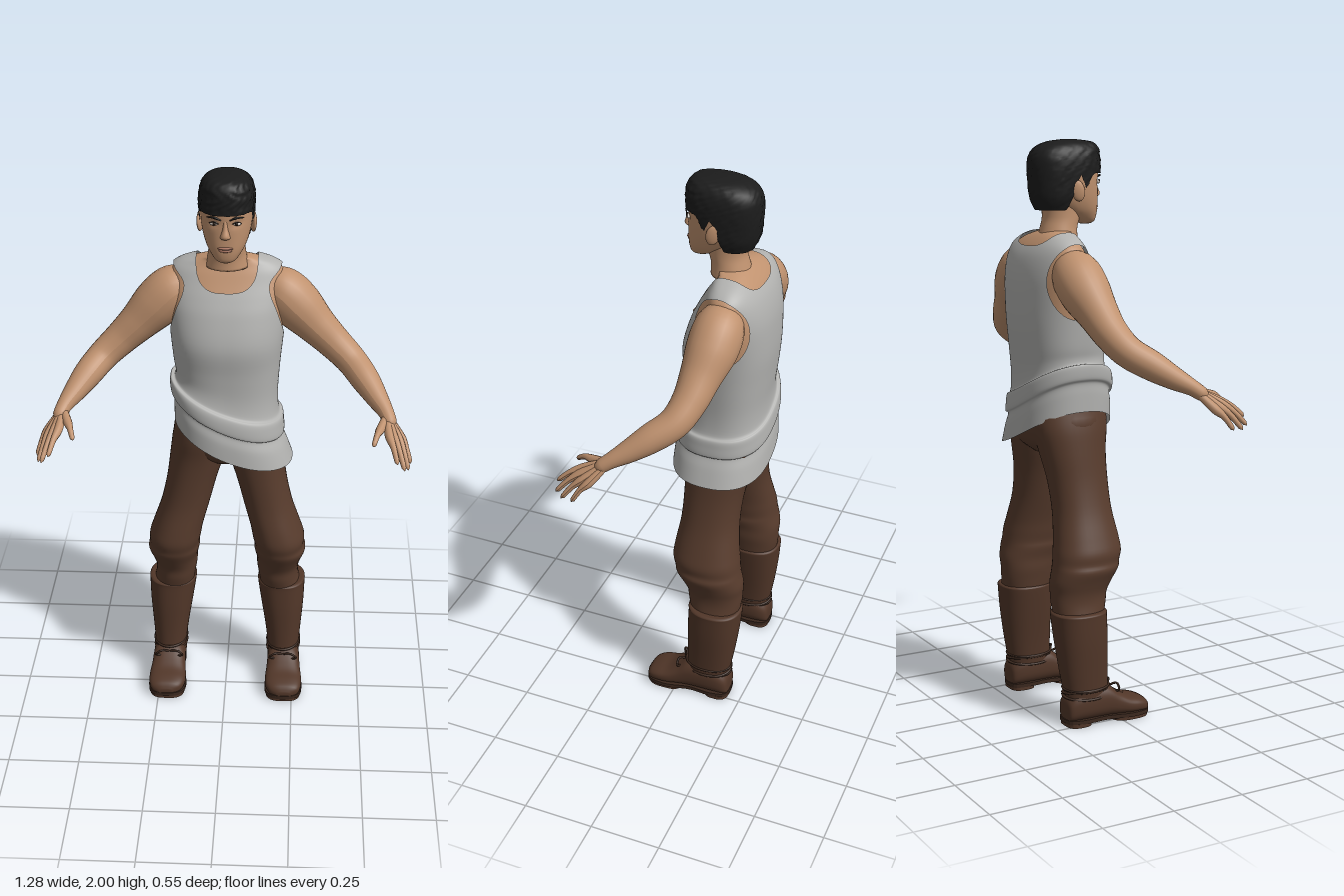
import * as THREE from 'three';
import { toCreasedNormals } from 'three/addons/utils/BufferGeometryUtils.js';

const mat = (name, color, side = THREE.FrontSide) => {
  const m = new THREE.MeshStandardMaterial({ color, side });
  m.name = name;
  return m;
};

// Loft through horizontal rings [y, x0, x1, zFront, zBack], listed bottom to top.
function loft(rings, { n = 40, e = 2.3, sub = 4, caps = true, mod } = {}) {
  const pos = [], idx = [], rows = (rings.length - 1) * sub;
  const cr = (a, b, c, d, t) => b + 0.5 * t * (c - a + t * (2 * a - 5 * b + 4 * c - d + t * (3 * (b - c) + d - a)));
  const p = new THREE.Vector3();
  const pw = (v) => Math.sign(v) * Math.abs(v) ** (2 / e);
  for (let i = 0; i <= rows; i++) {
    const k = Math.min(Math.floor(i / sub), rings.length - 2), t = i / sub - k;
    const R = (j) => rings[Math.max(0, Math.min(rings.length - 1, j))];
    const [y, x0, x1, zf, zb] = rings[0].map((_, c) => cr(R(k - 1)[c], R(k)[c], R(k + 1)[c], R(k + 2)[c], t));
    for (let j = 0; j < n; j++) {
      const a = (j / n) * Math.PI * 2;
      p.set((x0 + x1) / 2 + pw(Math.cos(a)) * (x1 - x0) / 2, y, (zf + zb) / 2 + pw(Math.sin(a)) * (zf - zb) / 2);
      if (mod) mod(p);
      pos.push(p.x, p.y, p.z);
      if (i < rows) {
        const q = i * n + j, r = i * n + (j + 1) % n;
        idx.push(q, q + n, r, r, q + n, r + n);
      }
    }
  }
  if (caps) [[0, rings[0]], [rows, rings[rings.length - 1]]].forEach(([row, r]) => {
    const c = pos.length / 3;
    pos.push((r[1] + r[2]) / 2, r[0], (r[3] + r[4]) / 2);
    for (let j = 0; j < n; j++) {
      const a = row * n + j, b = row * n + (j + 1) % n;
      row ? idx.push(c, b, a) : idx.push(c, a, b);
    }
  });
  const g = new THREE.BufferGeometry();
  g.setAttribute('position', new THREE.Float32BufferAttribute(pos, 3));
  g.setIndex(idx);
  g.computeVertexNormals();
  return g;
}

// Tapered tube through points [x, y, z, radius].
function limb(pts, seg = 24, sides = 16) {
  const curve = new THREE.CatmullRomCurve3(pts.map((p) => new THREE.Vector3(p[0], p[1], p[2])));
  const radii = new THREE.CatmullRomCurve3(pts.map((p, i) => new THREE.Vector3(p[3], i, 0)));
  const g = new THREE.TubeGeometry(curve, seg, 1, sides), P = g.attributes.position, v = new THREE.Vector3();
  for (let i = 0; i <= seg; i++) {
    const c = curve.getPointAt(i / seg), r = Math.max(0.0005, radii.getPoint(curve.getUtoTmapping(i / seg)).x);
    for (let j = 0; j <= sides; j++) {
      const k = i * (sides + 1) + j;
      v.fromBufferAttribute(P, k).sub(c).multiplyScalar(r).add(c);
      P.setXYZ(k, v.x, v.y, v.z);
    }
  }
  g.computeVertexNormals();
  return g;
}

// Keep the part of a surface where f > 0, with a clean edge.
function clip(geo, f) {
  const g = geo.toNonIndexed(), P = g.attributes.position, N = g.attributes.normal, pos = [], nor = [];
  for (let i = 0; i < P.count; i += 3) {
    const tri = [0, 1, 2].map((k) => {
      const p = new THREE.Vector3().fromBufferAttribute(P, i + k);
      return { p, n: new THREE.Vector3().fromBufferAttribute(N, i + k), d: f(p) };
    });
    const poly = [];
    tri.forEach((a, k) => {
      const b = tri[(k + 1) % 3];
      if (a.d > 0) poly.push(a);
      if (a.d > 0 !== b.d > 0) {
        const t = a.d / (a.d - b.d);
        poly.push({ p: a.p.clone().lerp(b.p, t), n: a.n.clone().lerp(b.n, t) });
      }
    });
    for (let k = 1; k + 1 < poly.length; k++) [poly[0], poly[k], poly[k + 1]].forEach((q) => { pos.push(...q.p.toArray()); nor.push(...q.n.toArray()); });
  }
  const out = new THREE.BufferGeometry();
  out.setAttribute('position', new THREE.Float32BufferAttribute(pos, 3));
  out.setAttribute('normal', new THREE.Float32BufferAttribute(nor, 3));
  return out;
}

export function createModel() {
  const root = new THREE.Group();
  const skin = mat('skin', 0xc0926f), shirt = mat('shirt grey', 0xb2b2b0, THREE.DoubleSide);
  const pants = mat('trouser brown', 0x583c2d), boot = mat('boot brown', 0x523729), sole = mat('sole brown', 0x3b281e);
  const hair = mat('hair black', 0x1c1c1c, THREE.DoubleSide), lip = mat('lip', 0xa87460);
  const white = mat('eye white', 0xd8d0c8), dark = mat('eye dark', 0x20160f);
  const add = (name, g, m) => {
    const o = new THREE.Mesh(g, m);
    o.name = name;
    root.add(o);
    return o;
  };
  const sym = (r) => r.map(([y, w, zf, zb]) => [y, -w, w, zf, zb]);
  const ss = THREE.MathUtils.smoothstep;

  // Torso and sleeveless shirt share the same upper sections
  const chest = [
    [1.30, 0.185, 0.035, -0.262], [1.40, 0.195, 0.04, -0.27], [1.50, 0.205, 0.012, -0.268], [1.56, 0.209, -0.015, -0.26],
    [1.61, 0.206, -0.042, -0.245], [1.645, 0.195, -0.06, -0.226], [1.67, 0.162, -0.073, -0.205],
    [1.688, 0.112, -0.075, -0.185], [1.70, 0.07, -0.06, -0.165]];
  add('upperBody', loft(sym(chest.map(([y, w, f, b]) => [y - 0.006, w - 0.008, f - 0.008, b + 0.008])), { n: 64, e: 2.4 }), skin);
  const tail = [
    [0.99, -0.185, 0.235, 0.066, -0.275], [1.05, -0.186, 0.212, 0.062, -0.27], [1.088, -0.186, 0.194, 0.054, -0.264],
    [1.097, -0.197, 0.204, 0.064, -0.273], [1.13, -0.2, 0.202, 0.063, -0.272], [1.155, -0.196, 0.198, 0.056, -0.268],
    [1.166, -0.182, 0.184, 0.043, -0.257], [1.22, -0.179, 0.179, 0.034, -0.255]];
  // The hem and its folds slant down to the model's left
  const slant = (p) => { p.y += (1 - ss(p.y, 1.12, 1.34)) * (-0.4 * p.x + 0.75 * p.x * p.x); };
  const shirtSurface = loft([...tail, ...sym(chest)], { n: 96, e: 2.4, sub: 5, caps: false, mod: slant });
  add('shirt', clip(shirtSurface, ({ x, y, z }) => {
    const ry = 0.055 + 0.06 * ss(z, -0.2, -0.06);
    const neck = (Math.abs(x) / 0.105) ** 3 + (Math.max(0, 1.7 - y) / ry) ** 3 - 1;
    const arm = Math.max(((z + 0.137) / 0.095) ** 2 + ((y - 1.53) / 0.125) ** 2 - 1, (0.13 - Math.abs(x)) * 10);
    return Math.min(neck, arm);
  }), shirt);

  // Neck and head
  add('neck', loft(sym([[1.66, 0.075, -0.04, -0.18], [1.70, 0.066, -0.04, -0.168], [1.74, 0.062, -0.03, -0.16], [1.80, 0.064, -0.03, -0.165]]), { e: 2 }), skin);
  add('head', loft(sym([
    [1.713, 0.018, 0.018, -0.02], [1.722, 0.034, 0.03, -0.04], [1.74, 0.05, 0.035, -0.08], [1.765, 0.066, 0.037, -0.125],
    [1.80, 0.079, 0.037, -0.165], [1.84, 0.086, 0.037, -0.185], [1.88, 0.088, 0.037, -0.19], [1.92, 0.086, 0.034, -0.19],
    [1.96, 0.07, 0.012, -0.17], [1.985, 0.03, -0.03, -0.12]]), {
    mod: (p) => { // eye sockets
      if (p.z > -0.02) p.z -= 0.007 * Math.exp(-(((Math.abs(p.x) - 0.038) / 0.018) ** 2) - ((p.y - 1.855) / 0.012) ** 2);
    }
  }), skin);
  add('nose', loft(sym([[1.803, 0.008, 0.044, 0.02], [1.808, 0.017, 0.053, 0.02], [1.818, 0.015, 0.056, 0.02], [1.84, 0.009, 0.046, 0.02], [1.868, 0.007, 0.036, 0.02]]), { n: 16, e: 2 }), skin);
  const ball = (name, m, x, y, z, a, b, c) => {
    const o = add(name, new THREE.SphereGeometry(1, 20, 14), m);
    o.position.set(x, y, z);
    o.scale.set(a, b, c);
    return o;
  };
  ball('upperLip', lip, 0, 1.771, 0.035, 0.026, 0.005, 0.009);
  ball('lowerLip', lip, 0, 1.763, 0.034, 0.022, 0.006, 0.009);
  for (const s of [1, -1]) {
    ball('eye', white, s * 0.038, 1.855, 0.027, 0.014, 0.0065, 0.008);
    ball('iris', dark, s * 0.037, 1.855, 0.032, 0.006, 0.006, 0.005);
    add('upperLid', limb([[s * 0.022, 1.855, 0.034, 0.001], [s * 0.036, 1.862, 0.035, 0.002], [s * 0.054, 1.857, 0.026, 0.001]], 10, 6), dark);
    add('eyebrow', limb([[s * 0.014, 1.868, 0.037, 0.002], [s * 0.035, 1.877, 0.036, 0.004], [s * 0.062, 1.876, 0.025, 0.001]], 12, 8), hair);
    ball('ear', skin, s * 0.089, 1.828, -0.076, 0.009, 0.036, 0.023).rotation.set(-0.2, s * 0.35, 0);
  }

  // Short hair: a cap trimmed along the hairline
  add('hair', clip(loft(sym([
    [1.755, 0.068, 0, -0.182], [1.80, 0.086, 0.035, -0.203], [1.85, 0.092, 0.044, -0.21], [1.90, 0.095, 0.045, -0.212],
    [1.94, 0.092, 0.045, -0.208], [1.97, 0.08, 0.038, -0.188], [1.99, 0.055, 0.015, -0.145], [1.998, 0.015, -0.04, -0.09]]), {
    n: 72, sub: 6,
    mod: (p) => {
      const r = 0.0022 * Math.sin(p.x * 170 + 3 * Math.sin(p.y * 90)) * Math.sin(p.z * 150 + p.y * 120);
      p.x += r * Math.sign(p.x);
      p.z += r;
    }
  }), ({ y, z }) => y - (1.762 + 0.123 * ss(z, -0.115, -0.065) - 0.05 * Math.exp(-(((z + 0.042) / 0.016) ** 2)))), hair);

  // Hips
  add('hips', loft(sym([[0.93, 0.08, -0.03, -0.19], [0.97, 0.17, 0.01, -0.235], [1.04, 0.19, 0.03, -0.25], [1.1, 0.176, 0.03, -0.248], [1.2, 0.165, 0.02, -0.24]])), pants);

  for (const s of [1, -1]) {
    const side = s > 0 ? 'left' : 'right';
    const flip = (r) => (s > 0 ? r : r.map(([y, a, b, f, k]) => [y, -b, -a, f, k]));
    const m = (pts) => pts.map(([x, y, z, r]) => [x * s, y, z, r]);

    // Arm and hand
    add(side + 'Arm', limb(m([
      [0.12, 1.585, -0.14, 0.05], [0.18, 1.56, -0.14, 0.082], [0.24, 1.505, -0.135, 0.086], [0.31, 1.435, -0.122, 0.069],
      [0.37, 1.378, -0.11, 0.059], [0.43, 1.325, -0.082, 0.053], [0.48, 1.28, -0.02, 0.049], [0.52, 1.24, 0.04, 0.038],
      [0.55, 1.21, 0.09, 0.027], [0.565, 1.185, 0.125, 0.022], [0.572, 1.175, 0.14, 0.002]]), 60, 24), skin);
    const digits = {
      IndexFinger: [[0.56, 1.165, 0.18], [0.585, 1.11, 0.265]], MiddleFinger: [[0.578, 1.155, 0.182], [0.61, 1.085, 0.26]],
      RingFinger: [[0.594, 1.146, 0.168], [0.624, 1.075, 0.235]], LittleFinger: [[0.603, 1.142, 0.146], [0.633, 1.078, 0.195]],
      Thumb: [[0.53, 1.182, 0.16], [0.506, 1.155, 0.23]]
    };
    for (const [name, [k, t]] of Object.entries(digits)) {
      const mid = k.map((v, i) => (v + t[i]) / 2 + (i === 1 ? 0.008 : 0));
      add(side + name, limb(m([[0.553, 1.205, 0.095, 0.012], [...k, 0.0155], [...mid, 0.0105], [...t, 0.0075], [...t.map((v, i) => v + (t[i] - mid[i]) * 0.12), 0.0005]]), 20, 10), skin);
    }

    // Trouser leg
    add(side + 'TrouserLeg', loft(flip([
      [0.38, 0.125, 0.275, -0.05, -0.225], [0.43, 0.118, 0.265, -0.036, -0.232], [0.47, 0.112, 0.266, -0.03, -0.234], [0.51, 0.11, 0.277, -0.012, -0.236],
      [0.55, 0.102, 0.29, 0.008, -0.228], [0.575, 0.102, 0.284, 0.014, -0.224], [0.61, 0.095, 0.284, 0.022, -0.22], [0.66, 0.086, 0.268, 0.018, -0.212],
      [0.75, 0.062, 0.238, 0.006, -0.202], [0.85, 0.036, 0.216, 0.004, -0.208], [0.95, 0.006, 0.203, 0.008, -0.228],
      [1.03, -0.005, 0.192, 0.02, -0.243], [1.1, 0.0, 0.174, 0.02, -0.24]]), { e: 2.2 }), pants);

    // Boot: shaft, foot, sole and laces
    add(side + 'BootShaft', loft(flip([
      [0.07, 0.16, 0.272, -0.03, -0.195], [0.12, 0.156, 0.274, -0.038, -0.2], [0.2, 0.146, 0.28, -0.04, -0.214], [0.3, 0.13, 0.288, -0.04, -0.228],
      [0.385, 0.117, 0.291, -0.043, -0.236], [0.4, 0.117, 0.291, -0.043, -0.236], [0.405, 0.125, 0.283, -0.051, -0.228]]), { e: 2.3 }), boot);
    const foot = loft(flip([
      [-0.203, 0.195, 0.24, -0.025, -0.07], [-0.195, 0.172, 0.262, -0.016, -0.1], [-0.15, 0.158, 0.274, -0.015, -0.135],
      [-0.06, 0.157, 0.277, -0.015, -0.138], [-0.01, 0.154, 0.281, -0.015, -0.105], [0.03, 0.15, 0.286, -0.015, -0.082],
      [0.07, 0.152, 0.285, -0.015, -0.072], [0.1, 0.168, 0.274, -0.015, -0.06], [0.114, 0.198, 0.245, -0.02, -0.04]]), { e: 2.6 });
    add(side + 'BootFoot', foot.rotateX(Math.PI / 2), boot);
    const outline = new THREE.Shape();
    outline.moveTo(s * 0.215, -0.207);
    outline.splineThru([[0.258, -0.195], [0.272, -0.14], [0.27, -0.06], [0.288, 0.03], [0.275, 0.098], [0.22, 0.117], [0.165, 0.1],
      [0.148, 0.04], [0.163, -0.06], [0.16, -0.14], [0.172, -0.195], [0.215, -0.207]].map(([x, z]) => new THREE.Vector2(x * s, z)));
    const welt = new THREE.ExtrudeGeometry(outline, { depth: 0.014, bevelEnabled: false, curveSegments: 48 });
    add(side + 'Sole', toCreasedNormals(welt.rotateX(Math.PI / 2), 0.7), sole).position.y = 0.026;
    const pad = (name, z0, z1, x0, x1) => add(side + name, toCreasedNormals(loft(flip([[0, x0, x1, z1, z0], [0.014, x0, x1, z1, z0]]), { e: 3, sub: 1 }), 0.7), boot);
    pad('HeelPad', -0.203, -0.11, 0.163, 0.27);
    pad('BallPad', -0.03, 0.112, 0.153, 0.283);
    [[0.105, 0.12], [0.118, -0.12], [0.132, 0.05]].forEach(([y, tilt]) => {
      const lace = add(side + 'AnkleLace', new THREE.TorusGeometry(1, 0.07, 8, 40).rotateX(Math.PI / 2), sole);
      lace.scale.set(0.061, 0.06, 0.084);
      lace.position.set(s * 0.215, y, -0.118);
      lace.rotation.z = tilt;
    });
    for (const k of [1, -1]) add(side + 'LaceLoop', limb(m([
      [0.215, 0.115, -0.03, 0.004], [0.215 + k * 0.03, 0.13, -0.01, 0.004], [0.215 + k * 0.05, 0.112, -0.012, 0.004], [0.215 + k * 0.025, 0.1, -0.02, 0.004]]), 14, 6), sole);
  }
  return root;
}
